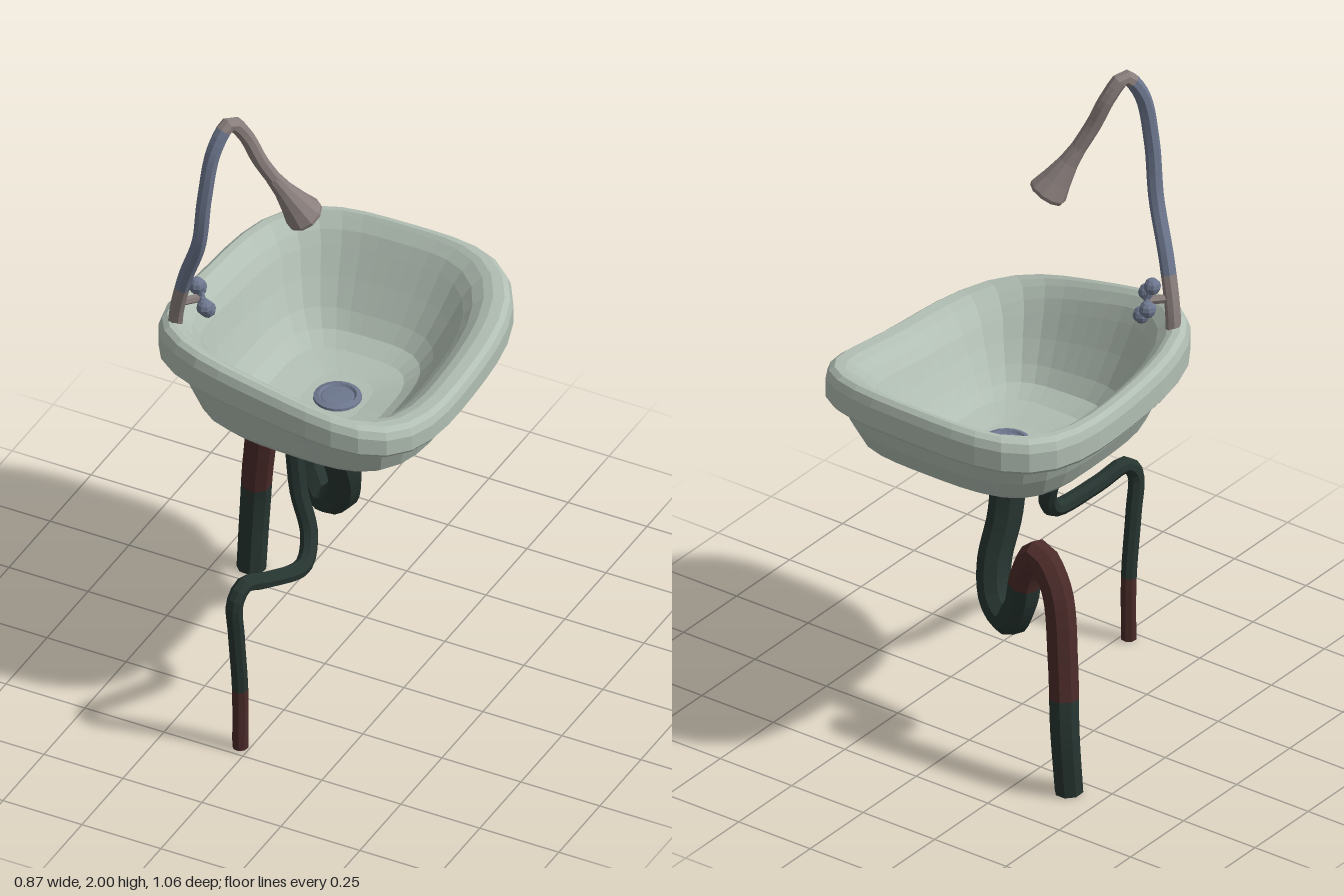
import * as THREE from 'three';

const mat = (name, color) => {
  const m = new THREE.MeshStandardMaterial({ color, flatShading: true });
  m.name = name;
  return m;
};

// Squarish bowl: stacked rounded-square rings [y, halfWidth, halfDepth, centreX, centreZ, warp]
function basinGeometry(rings, segs = 40) {
  const pos = [], idx = [];
  for (const [y, w, d, cx, cz, warp] of rings) {
    for (let j = 0; j < segs; j++) {
      const t = (j / segs) * Math.PI * 2, c = Math.cos(t), s = Math.sin(t), n = 3.5;
      const r = Math.pow(Math.abs(c) ** n + Math.abs(s) ** n, -1 / n);
      const u = c * r, v = s * r;
      // Saddle-shaped rim: front and back arch up, the sides dip, one front corner rises
      const lift = -0.038 * u - 0.045 * u * v + 0.052 * v * v;
      pos.push(cx + w * u, y + warp * lift, cz + d * v);
    }
  }
  for (let i = 0; i < rings.length - 1; i++) {
    for (let j = 0; j < segs; j++) {
      const k = (j + 1) % segs;
      const a = i * segs + j, b = i * segs + k, c = a + segs, d = b + segs;
      idx.push(a, c, b, b, c, d);
    }
  }
  const g = new THREE.BufferGeometry();
  g.setAttribute('position', new THREE.Float32BufferAttribute(pos, 3));
  g.setIndex(idx);
  g.computeVertexNormals();
  return g;
}

export function createModel() {
  const model = new THREE.Group();
  model.name = 'sink';
  const ceramic = mat('ceramic', 0xb1beb3);
  const blueMetal = mat('blueMetal', 0x6d778e);
  const wornMetal = mat('wornMetal', 0x8a7f7d);
  const darkPipe = mat('darkPipe', 0x273531);
  const rust = mat('rust', 0x4a2b29);

  const add = (name, geo, material, p = [0, 0, 0], parent = model) => {
    const m = new THREE.Mesh(geo, material);
    m.name = name;
    m.position.set(...p);
    parent.add(m);
    return m;
  };

  // Tube along points, tapering from r0 to r1; pick(point, u) chooses the material of each slice
  const pipe = (name, pts, r0, r1, materials, pick, slices = 48, sides = 8) => {
    const curve = new THREE.CatmullRomCurve3(pts.map(p => new THREE.Vector3(...p)));
    const g = new THREE.TubeGeometry(curve, slices, r0, sides);
    const pos = g.attributes.position, v = new THREE.Vector3();
    for (let i = 0; i <= slices; i++) {
      const centre = curve.getPointAt(i / slices);
      const k = 1 + (r1 / r0 - 1) * (i / slices);
      for (let j = i * (sides + 1); j < (i + 1) * (sides + 1); j++) {
        v.fromBufferAttribute(pos, j).sub(centre).multiplyScalar(k).add(centre);
        pos.setXYZ(j, v.x, v.y, v.z);
      }
      if (i === slices) break;
      const u = (i + 0.5) / slices;
      g.addGroup(i * sides * 6, sides * 6, pick(curve.getPointAt(u), u));
    }
    return add(name, g, materials);
  };

  const Z = -0.0675;
  add('basin', basinGeometry([
    // outer shell
    [0.832, 0, 0, 0, 0.02, 0],
    [0.838, 0.13, 0.13, 0.01, 0.0, 0],
    [0.858, 0.24, 0.23, 0.02, -0.03, 0.05],
    [0.885, 0.3, 0.305, 0.02, -0.05, 0.1],
    [0.925, 0.342, 0.362, 0.018, -0.06, 0.2],
    [0.985, 0.368, 0.395, 0.01, Z, 0.4],
    [1.055, 0.392, 0.425, 0.005, Z, 0.7],
    // rolled rim
    [1.045, 0.425, 0.452, 0, Z, 0.8],
    [1.058, 0.435, 0.4625, 0, Z, 0.8],
    [1.112, 0.435, 0.4625, 0, Z, 0.95],
    [1.135, 0.427, 0.454, 0, Z, 1],
    [1.146, 0.413, 0.441, 0, Z, 1],
    [1.145, 0.385, 0.428, -0.006, Z, 1],
    [1.135, 0.363, 0.415, -0.0125, -0.07, 1],
    // inner bowl
    [1.11, 0.335, 0.39, -0.0135, -0.069, 0.95],
    [1.08, 0.312, 0.368, -0.014, -0.068, 0.8],
    [1.02, 0.283, 0.327, -0.015, -0.064, 0.5],
    [0.96, 0.248, 0.283, -0.015, -0.06, 0.2],
    [0.92, 0.215, 0.248, -0.013, -0.058, 0.08],
    [0.896, 0.175, 0.195, -0.01, -0.06, 0],
    [0.88, 0.09, 0.1, 0, Z, 0],
    [0.876, 0, 0, 0.005, Z, 0],
  ]), ceramic);

  // Drain in the floor of the bowl
  const drainProfile = [[0.07, 0], [0.068, 0.012], [0.054, 0.016], [0.048, 0.009], [0.044, 0.011], [0, 0.013]];
  add('drain', new THREE.LatheGeometry(drainProfile.map(p => new THREE.Vector2(...p)), 20),
    blueMetal, [0.005, 0.874, Z]);

  // Nut under the bowl
  add('drainNut', new THREE.CylinderGeometry(0.085, 0.085, 0.035, 10), darkPipe, [-0.025, 0.822, -0.095]);
  add('drainCollar', new THREE.CylinderGeometry(0.082, 0.068, 0.03, 10), darkPipe, [-0.025, 0.792, -0.095]);

  // Curling waste pipe with a rusty arch
  pipe('wastePipe', [
    [-0.025, 0.82, -0.095], [-0.025, 0.68, -0.115], [-0.02, 0.54, -0.16], [-0.05, 0.445, -0.19],
    [-0.11, 0.41, -0.21], [-0.165, 0.49, -0.23], [-0.2, 0.62, -0.245], [-0.25, 0.688, -0.255],
    [-0.32, 0.61, -0.27], [-0.365, 0.4, -0.3], [-0.39, 0.2, -0.325], [-0.395, 0, -0.312],
  ], 0.052, 0.042, [darkPipe, rust], (p, u) => (u > 0.4 && p.x < -0.185 && p.y > 0.3 ? 1 : 0), 56);

  // Thin supply pipe swinging sideways, then stepping forward
  pipe('supplyPipe', [
    [-0.015, 0.85, 0.16], [0, 0.7, 0.16], [0.038, 0.57, 0.17], [0.054, 0.507, 0.235],
    [0.012, 0.535, 0.38], [-0.015, 0.562, 0.465], [-0.025, 0.52, 0.5], [-0.027, 0.4, 0.488],
    [-0.026, 0.2, 0.467], [-0.026, 0, 0.466],
  ], 0.027, 0.023, [darkPipe, rust], p => (p.y < 0.2 ? 1 : 0));

  // Closed ends where the pipes meet the floor
  const footCap = (name, r, m, p) => {
    add(name, new THREE.CircleGeometry(r, 8), m, p).rotation.x = Math.PI / 2;
  };
  footCap('wastePipeEnd', 0.041, darkPipe, [-0.395, 0.002, -0.312]);
  footCap('supplyPipeEnd', 0.022, rust, [-0.026, 0.002, 0.466]);

  // Tall gooseneck
  pipe('gooseneck', [
    [-0.348, 1.2, 0.245], [-0.335, 1.28, 0.257], [-0.295, 1.42, 0.282], [-0.235, 1.58, 0.315],
    [-0.212, 1.75, 0.325], [-0.192, 1.91, 0.303], [-0.168, 1.977, 0.255], [-0.14, 1.92, 0.215],
    [-0.105, 1.83, 0.193], [-0.07, 1.75, 0.163],
  ], 0.022, 0.023, [blueMetal, wornMetal], (p, u) => (u < 0.16 || u > 0.72 ? 1 : 0));

  // Flared spray head
  const throat = new THREE.Vector3(-0.078, 1.768, 0.171), mouth = new THREE.Vector3(-0.007, 1.613, 0.104);
  const axis = mouth.clone().sub(throat), len = axis.length();
  const head = new THREE.Group();
  head.name = 'sprayHead';
  head.position.copy(throat);
  head.quaternion.setFromUnitVectors(new THREE.Vector3(0, 1, 0), axis.normalize());
  model.add(head);
  const bell = [[0.022, 0], [0.029, 0.35], [0.044, 0.7], [0.057, 0.94], [0.054, 1], [0.03, 1], [0.025, 0.8]];
  add('sprayBell', new THREE.LatheGeometry(bell.map(([r, h]) => new THREE.Vector2(r, h * len)), 10),
    wornMetal, [0, 0, 0], head);
  add('sprayHole', new THREE.CircleGeometry(0.026, 10), darkPipe, [0, 0.8 * len, 0], head).rotation.x = -Math.PI / 2;

  // Cross handle with four ball ends
  const hub = new THREE.Vector3(-0.28, 1.31, 0.212);
  const rod = (name, a, b, r, m) => {
    const d = b.clone().sub(a);
    const mid = a.clone().add(b).multiplyScalar(0.5);
    add(name, new THREE.CylinderGeometry(r, r, d.length(), 6), m, mid.toArray())
      .quaternion.setFromUnitVectors(new THREE.Vector3(0, 1, 0), d.normalize());
  };
  rod('handleStem', new THREE.Vector3(-0.325, 1.31, 0.262), hub, 0.013, wornMetal);
  for (const p of [[-0.29, 1.355, 0.222], [-0.31, 1.31, 0.173], [-0.268, 1.265, 0.2], [-0.25, 1.31, 0.25]]) {
    rod('handleArm', hub, new THREE.Vector3(...p), 0.01, blueMetal);
    add('handleBall', new THREE.SphereGeometry(0.025, 8, 6), blueMetal, p);
  }

  return model;
}
